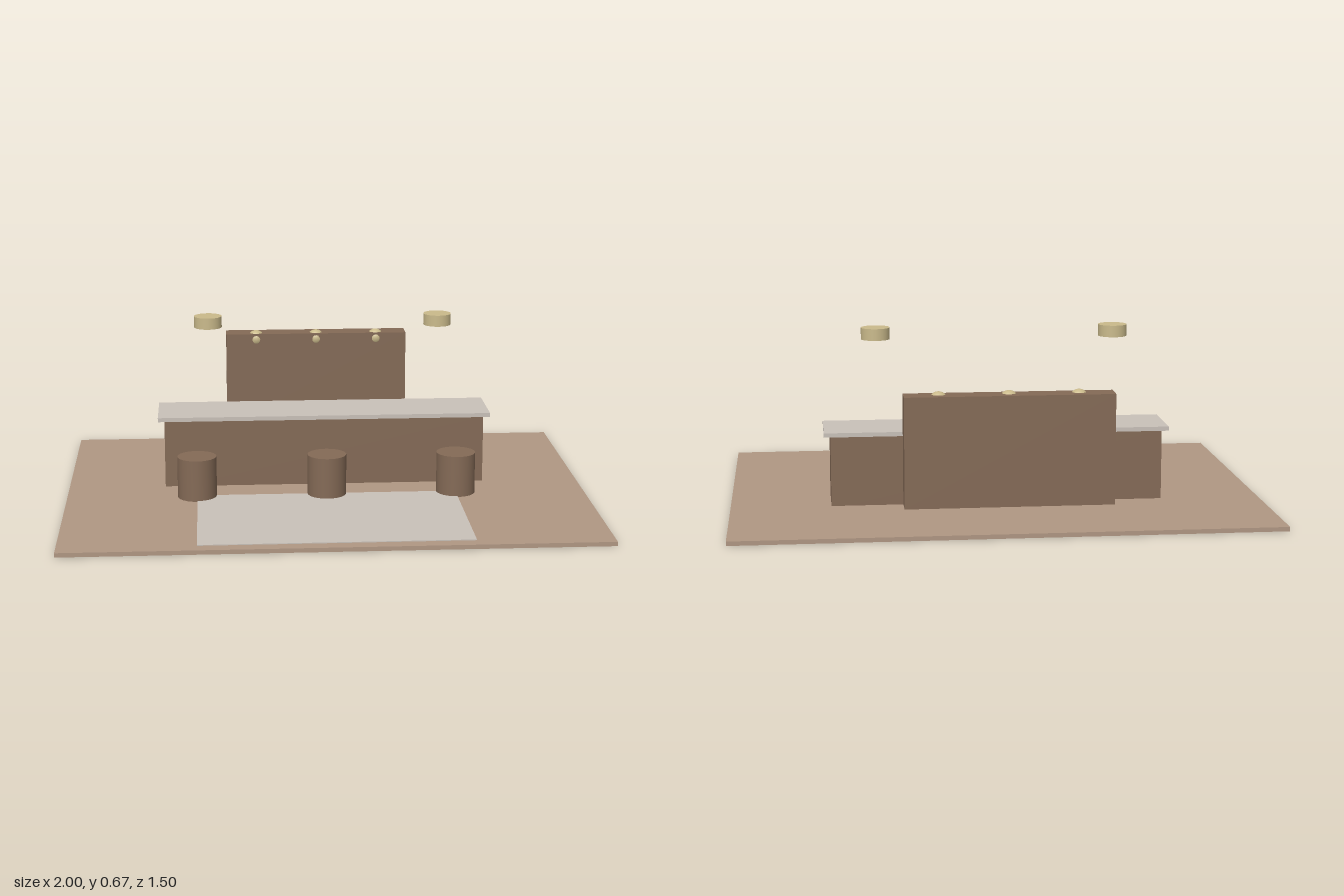
import * as THREE from 'three';

const material = (name, color) => {
  const m = new THREE.MeshStandardMaterial({ color });
  m.name = name;
  return m;
};

export function createModel() {
  const model = new THREE.Group();
  model.name = 'barRoom';

  const floorTan = material('floorTan', 0xb09783);
  const darkWood = material('darkWood', 0x846a56);
  const paleStone = material('paleStone', 0xc9c1b9);
  const warmCream = material('warmCream', 0xcaba8b);

  const add = (name, geometry, mat, x, y, z) => {
    const mesh = new THREE.Mesh(geometry, mat);
    mesh.name = name;
    mesh.position.set(x, y, z);
    model.add(mesh);
  };

  // Box given by its width, depth, bottom and top heights, centred on x = 0
  const slab = (name, mat, width, depth, bottom, top, z) =>
    add(name, new THREE.BoxGeometry(width, top - bottom, depth), mat, 0, (bottom + top) / 2, z);

  // Floor and rug
  slab('floor', floorTan, 2, 1.5, 0, 0.016, 0);
  slab('rug', paleStone, 1, 0.6, 0.012, 0.019, 0.4);

  // Bar counter with overhanging top
  slab('counterBody', darkWood, 1.25, 0.225, 0.002, 0.28, -0.15);
  slab('counterTop', paleStone, 1.3, 0.25, 0.28, 0.296, -0.15);

  // Raised panel behind the counter
  slab('backPanel', darkWood, 0.75, 0.0865, 0.1, 0.5, -0.6475);

  // Small bulbs sunk into the upper edge of the panel
  const bulb = new THREE.SphereGeometry(0.035, 24, 16);
  for (const x of [-0.25, 0, 0.25]) add('panelBulb', bulb, warmCream, x, 0.476, -0.635);

  // Stools in front of the counter
  const stool = new THREE.CylinderGeometry(0.075, 0.075, 0.174, 24);
  for (const x of [-0.5, 0, 0.5]) add('stool', stool, darkWood, x, 0.089, 0.1);

  // Lamps floating above the counter
  const lamp = new THREE.CylinderGeometry(0.054, 0.054, 0.044, 24);
  for (const x of [-0.45, 0.45]) add('ceilingLamp', lamp, warmCream, x, 0.651, -0.15);

  return model;
}
